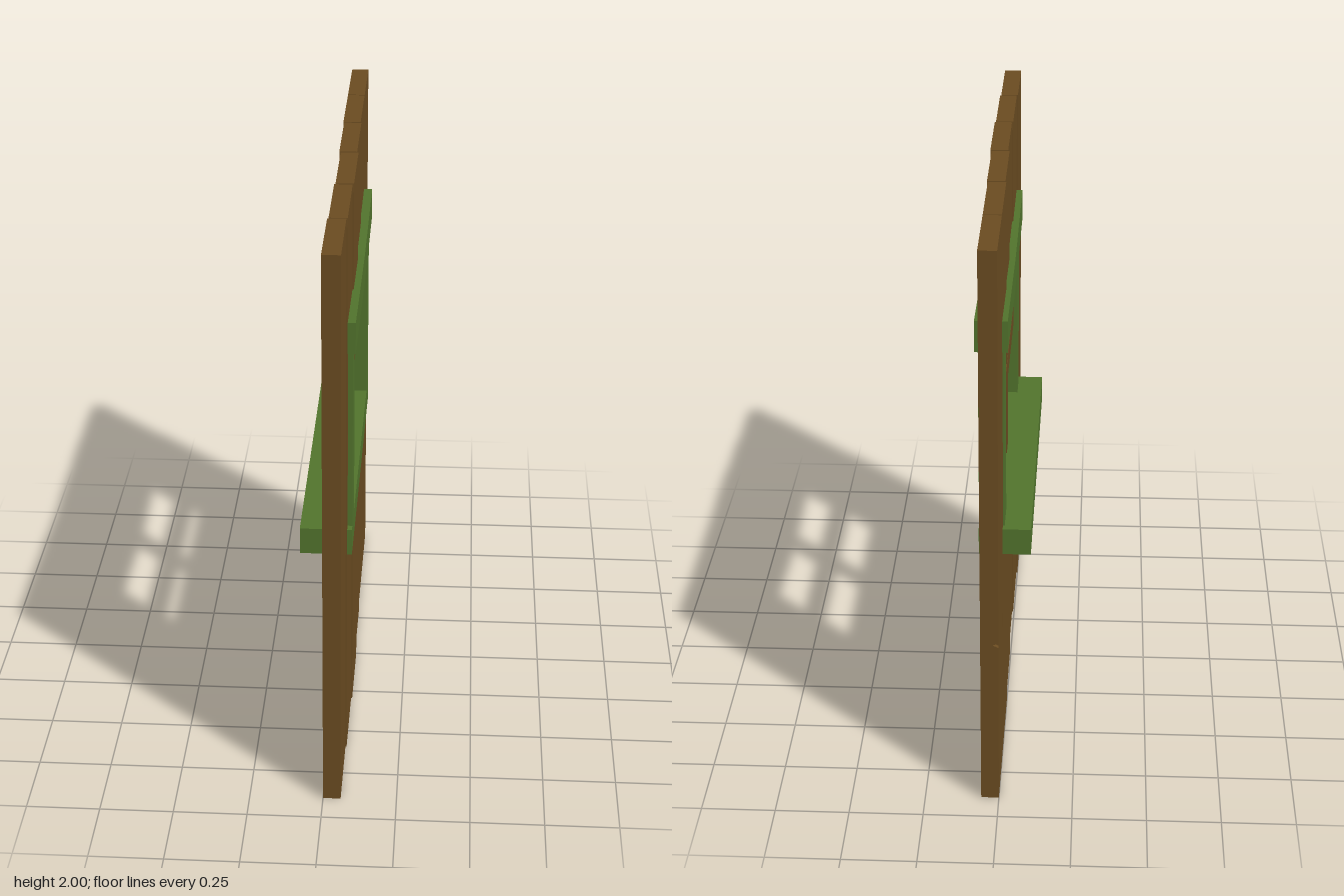
import * as THREE from 'three';

export function createModel() {
  const wood = new THREE.MeshStandardMaterial({ color: 0x6b4c21 });
  wood.name = 'brownWood';
  const paint = new THREE.MeshStandardMaterial({ color: 0x52742d });
  paint.name = 'greenPaint';

  const group = new THREE.Group();
  group.name = 'windowWall';

  // Outline in (z, y), given thickness from x0 to x1
  function slab(name, points, x0, x1, material) {
    const shape = new THREE.Shape(points.map(([z, y]) => new THREE.Vector2(z, y)));
    const geo = new THREE.ExtrudeGeometry(shape, { depth: x1 - x0, bevelEnabled: false });
    geo.rotateY(-Math.PI / 2).translate(x1, 0, 0);
    const mesh = new THREE.Mesh(geo, material);
    mesh.name = name;
    group.add(mesh);
  }

  function block(name, [x0, x1], [y0, y1], [z0, z1], material) {
    const mesh = new THREE.Mesh(new THREE.BoxGeometry(x1 - x0, y1 - y0, z1 - z0), material);
    mesh.position.set((x0 + x1) / 2, (y0 + y1) / 2, (z0 + z1) / 2);
    mesh.name = name;
    group.add(mesh);
  }

  // Planks with slightly worn end corners; the inner four leave room for the window
  const hole = { z: 0.51, y0: 0.83, y1: 1.56 };
  const worn = 0.003, seam = 0.001, T = 0.06;

  function lower(a, b) {
    return [[a, hole.y0], [a, 0.03], [a + worn, 0], [b - worn, 0], [b, 0.03], [b, hole.y0]];
  }
  function upper(a, b) {
    return [[b, hole.y1], [b, 1.97], [b - worn, 2], [a + worn, 2], [a, 1.97], [a, hole.y1]];
  }

  const planks = [
    [-0.88, -0.6, 0], [-0.6, -0.3, 0], [-0.3, 0, 0.003],
    [0, 0.3, 0.008], [0.3, 0.6, 0.004], [0.6, 0.895, 0],
  ];
  planks.forEach(([z0, z1, x], i) => {
    const a = z0 + seam, b = z1 - seam;
    if (i === 0) {
      block('outerPlank', [x, x + T], [0, 2], [z0, b], wood);
    } else if (i === 5) {
      block('outerPlank', [x, x + T], [0, 2], [a, z1], wood);
    } else if (i === 1) {
      const cut = [[-hole.z, hole.y1], [-hole.z, hole.y0]];
      slab('sidePlank', [...lower(a, b), ...cut.reverse(), ...upper(a, b)], x, x + T, wood);
    } else if (i === 4) {
      const cut = [[hole.z, hole.y0], [hole.z, hole.y1]];
      const top = upper(a, b), low = lower(a, b);
      slab('sidePlank', [...low, ...top, ...cut.reverse()], x, x + T, wood);
    } else {
      slab('lowerPlank', lower(a, b), x, x + T, wood);
      slab('upperPlank', upper(a, b), x, x + T, wood);
    }
  });

  // Edge of the end plank with a small nick on one corner
  const edge = new THREE.Shape([
    [0, 0], [T, 0], [T, 2], [0, 2], [0, 0.62], [0.018, 0.61], [0, 0.6],
  ].map(([x, y]) => new THREE.Vector2(x, y)));
  const edgeMesh = new THREE.Mesh(
    new THREE.ExtrudeGeometry(edge, { depth: 0.015, bevelEnabled: false }), wood);
  edgeMesh.position.z = -0.895;
  edgeMesh.name = 'plankEdge';
  group.add(edgeMesh);

  // Window frame: sagging lintel, deep sill and two jambs
  slab('lintel', [
    [-0.6, 1.53], [-0.03, 1.507], [0.59, 1.53],
    [0.59, 1.64], [-0.03, 1.615], [-0.6, 1.64],
  ], -0.018, 0.09, paint);
  block('sill', [-0.095, 0.08], [0.785, 0.88], [-0.6, 0.59], paint);
  block('jamb', [-0.006, 0.08], [0.87, 1.528], [0.452, 0.562], paint);
  block('jamb', [-0.006, 0.08], [0.87, 1.528], [-0.575, -0.462], paint);

  // Crossed glazing bars
  block('verticalBar', [0.011, 0.049], [0.87, 1.52], [-0.047, 0.031], wood);
  block('horizontalBar', [0.01, 0.05], [1.155, 1.232], [-0.47, 0.46], wood);

  return group;
}
